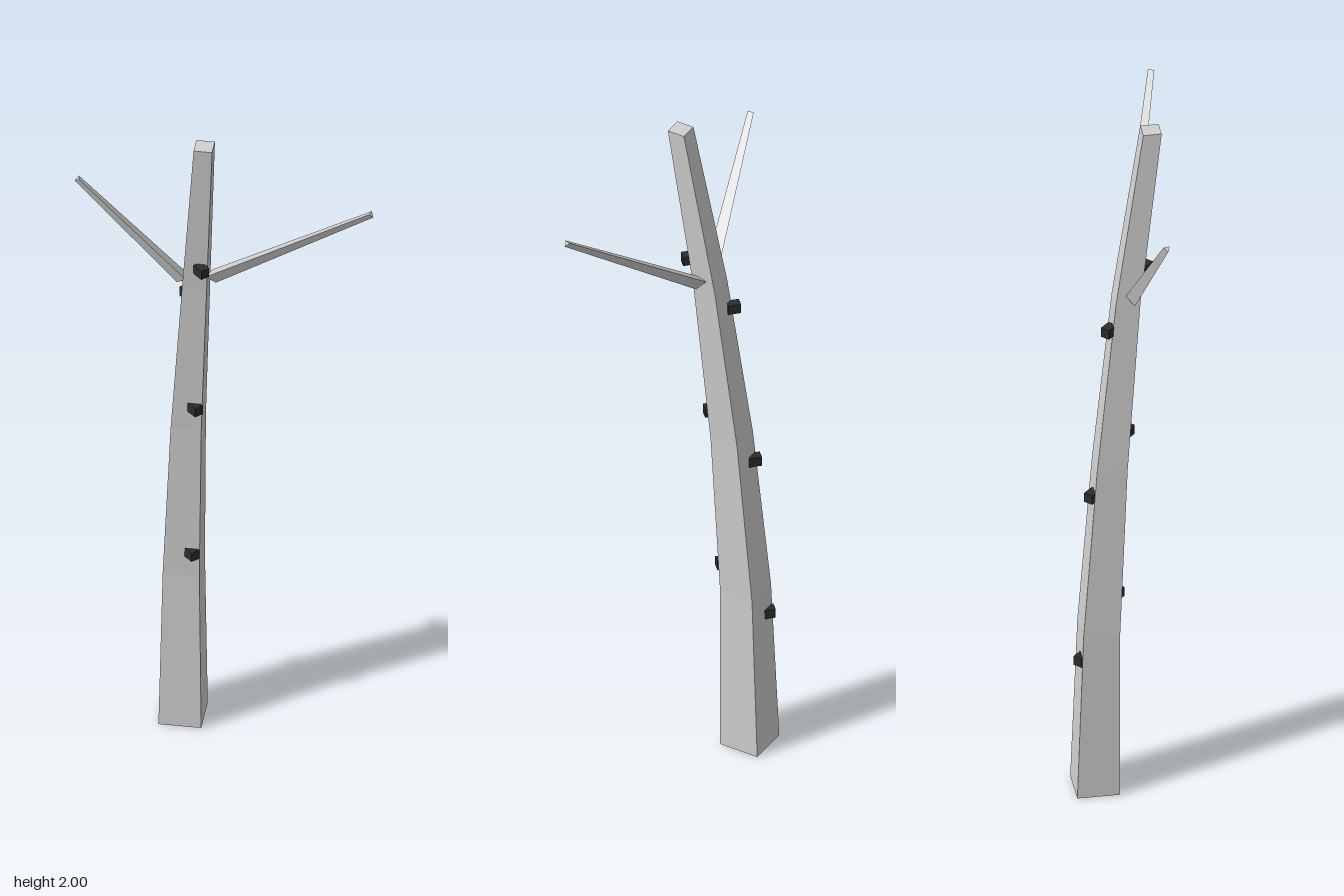
import * as THREE from 'three';

const bark = new THREE.MeshStandardMaterial({ name: 'paleBark', color: 0xd0d0d0, flatShading: true });
const dark = new THREE.MeshStandardMaterial({ name: 'darkKnot', color: 0x2c2c2c, flatShading: true });

// centre of the trunk (x, z) at each half unit of height
const spine = [[-0.24, -0.038], [-0.23, -0.033], [-0.195, -0.022], [-0.14, -0.008], [-0.066, 0.02]];

// four-sided tapering trunk, each ring shifted onto the bent spine
function makeTrunk() {
  const geo = new THREE.CylinderGeometry(0.035, 0.081, 2, 4, 4);
  const p = geo.attributes.position;
  for (let i = 0; i < p.count; i++) {
    const y = p.getY(i) + 1;
    const [cx, cz] = spine[Math.round(y * 2)];
    p.setXYZ(i, p.getX(i) + cx, y, p.getZ(i) + cz);
  }
  geo.computeVertexNormals();
  const mesh = new THREE.Mesh(geo, bark);
  mesh.name = 'trunk';
  return mesh;
}

// three-sided branch with a flat upper face and its ridge pointing down
function makeBranch(name, from, to) {
  const a = new THREE.Vector3(...from), b = new THREE.Vector3(...to);
  const dir = b.clone().sub(a);
  const length = dir.length();
  dir.normalize();
  const side = new THREE.Vector3(0, 1, 0).cross(dir).normalize();
  const down = side.clone().cross(dir);
  if (down.y > 0) down.negate();
  const across = dir.clone().cross(down);
  const mesh = new THREE.Mesh(new THREE.CylinderGeometry(0.01, 0.021, length, 3), bark);
  mesh.quaternion.setFromRotationMatrix(new THREE.Matrix4().makeBasis(across, dir, down));
  mesh.position.copy(a).add(b).multiplyScalar(0.5);
  mesh.name = name;
  return mesh;
}

export function createModel() {
  const tree = new THREE.Group();
  tree.name = 'bareTree';
  tree.add(makeTrunk());
  tree.add(makeBranch('leftBranch', [-0.105, 1.525, -0.032], [0.315, 1.885, -0.25]));
  tree.add(makeBranch('rightBranch', [-0.155, 1.515, 0.025], [-0.318, 1.845, 0.252]));

  // small dark knots alternating between the two sides of the trunk
  const knots = [
    [-0.288, 0.42, -0.048], [-0.253, 0.92, -0.039], [-0.2, 1.42, -0.022],
    [-0.172, 0.58, -0.016], [-0.141, 1.08, -0.005], [-0.086, 1.575, 0.015],
  ];
  const knotGeo = new THREE.BoxGeometry(0.035, 0.028, 0.026);
  for (const pos of knots) {
    const knot = new THREE.Mesh(knotGeo, dark);
    knot.position.set(...pos);
    knot.name = 'knot';
    tree.add(knot);
  }
  return tree;
}
